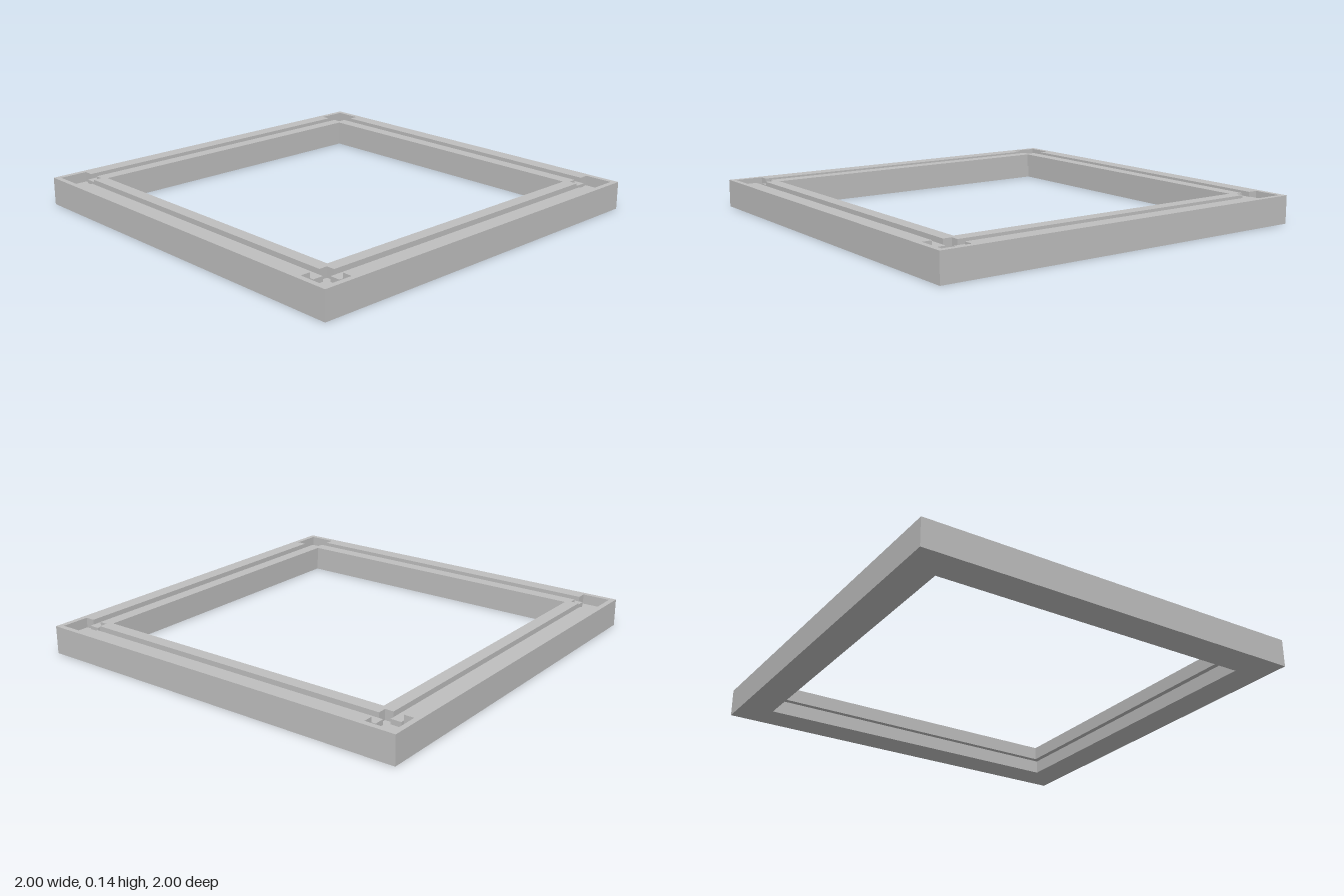
import * as THREE from 'three';

// Half sizes measured from the centre
const OUTER = 1, OPENING = 0.807, REBATE = 0.835;
const GROOVE_IN = 0.872, GROOVE_OUT = 0.924;
const POCKET_IN = 0.83, POCKET_OUT = 0.973, TAB = 0.85;
// Heights
const LEDGE = 0.07, POCKET_FLOOR = 0.09, GROOVE_FLOOR = 0.115, TOP = 0.14;

// Repeats the points of one corner, turning them a quarter turn each time
const turn = ([x, y], n) => (n === 0 ? [x, y] : turn([-y, x], n - 1));
const toPoints = (list) => list.map(([x, y]) => new THREE.Vector2(x, y));
const corner = (list, n) => toPoints(list.map((p) => turn(p, n)));
const loop = (list) => [0, 1, 2, 3].flatMap((n) => corner(list, n));
const square = (h) => loop([[h, h]]);

export function createModel() {
  const model = new THREE.Group();
  model.name = 'squareFrame';
  const grey = new THREE.MeshStandardMaterial({ color: 0xbfbfbf });
  grey.name = 'grey';

  // One flat slab from y0 to y1 with holes cut through it
  function slab(name, outline, holes, y0, y1) {
    const shape = new THREE.Shape(outline);
    holes.forEach((h) => shape.holes.push(new THREE.Path(h)));
    const geo = new THREE.ExtrudeGeometry(shape, { depth: y1 - y0, bevelEnabled: false });
    geo.rotateX(-Math.PI / 2).translate(0, y0, 0);
    const mesh = new THREE.Mesh(geo, grey);
    mesh.name = name;
    model.add(mesh);
  }

  // Corner pocket, with the groove floors reaching in as short tabs
  const pocket = [
    [POCKET_IN, POCKET_IN], [GROOVE_IN, POCKET_IN], [GROOVE_IN, TAB],
    [GROOVE_OUT, TAB], [GROOVE_OUT, POCKET_IN], [POCKET_OUT, POCKET_IN],
    [POCKET_OUT, POCKET_OUT], [POCKET_IN, POCKET_OUT], [POCKET_IN, GROOVE_OUT],
    [TAB, GROOVE_OUT], [TAB, GROOVE_IN], [POCKET_IN, GROOVE_IN],
  ];
  const pockets = [0, 1, 2, 3].map((n) => corner(pocket, n));

  // Outer and inner edges of the joined grooves and pockets
  const grooveOuter = loop([
    [GROOVE_OUT, POCKET_IN], [POCKET_OUT, POCKET_IN], [POCKET_OUT, POCKET_OUT],
    [POCKET_IN, POCKET_OUT], [POCKET_IN, GROOVE_OUT],
  ]);
  const grooveInner = loop([
    [GROOVE_IN, POCKET_IN], [POCKET_IN, POCKET_IN], [POCKET_IN, GROOVE_IN],
  ]);

  // Lower part has the wider opening, leaving a lip above it
  slab('rebatedBase', square(OUTER), [square(REBATE)], 0, LEDGE);
  slab('pocketFloor', square(OUTER), [square(OPENING)], LEDGE, POCKET_FLOOR);
  slab('grooveFloor', square(OUTER), [square(OPENING), ...pockets], POCKET_FLOOR, GROOVE_FLOOR);
  slab('outerRim', square(OUTER), [grooveOuter], GROOVE_FLOOR, TOP);
  slab('innerRim', grooveInner, [square(OPENING)], GROOVE_FLOOR, TOP);

  return model;
}
